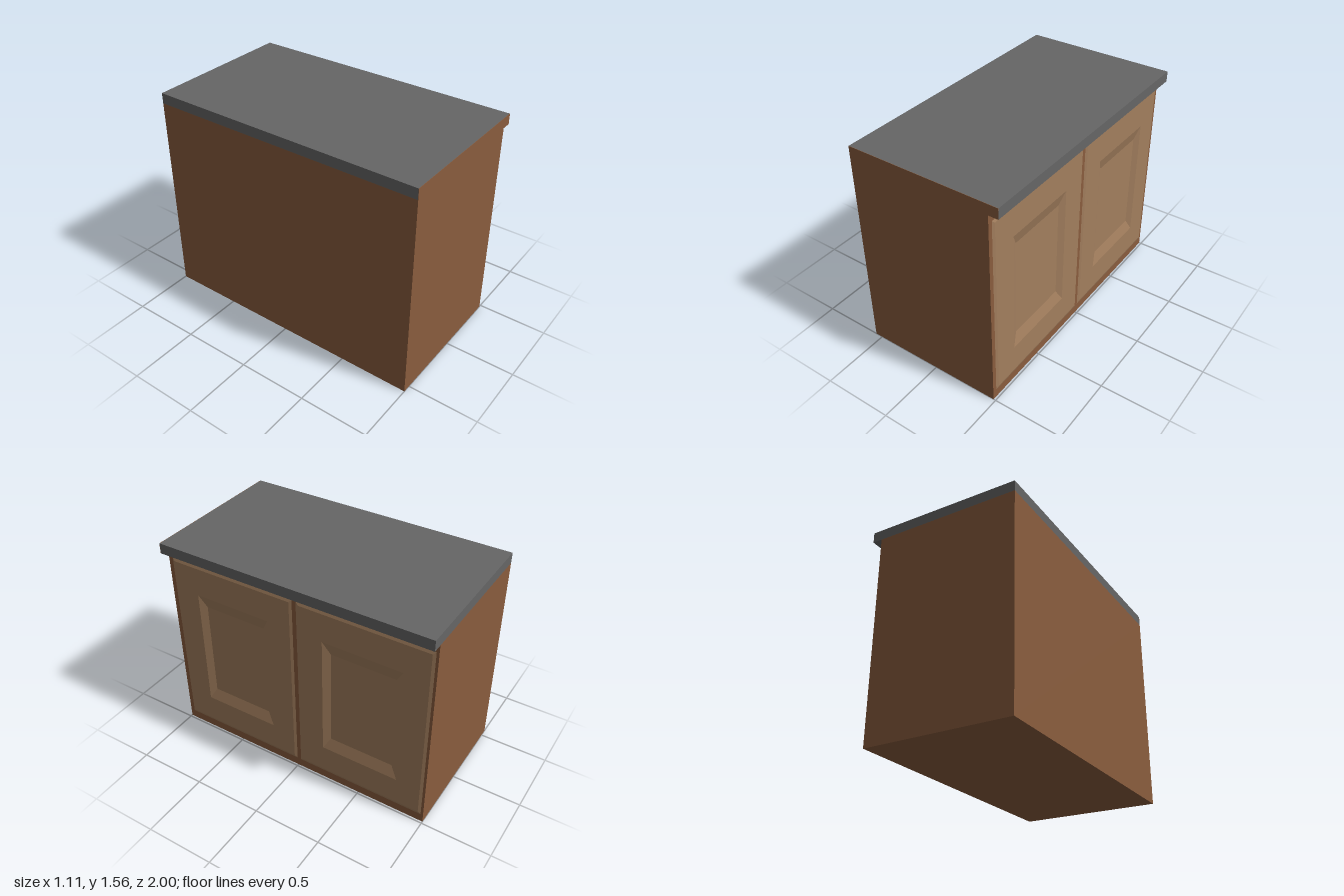
import * as THREE from 'three';

const wood = new THREE.MeshStandardMaterial({ color: 0x8a5d3e });
const doorWood = new THREE.MeshStandardMaterial({ color: 0xa37f5e });
const stone = new THREE.MeshStandardMaterial({ color: 0x666666 });

const BACK = -0.556, FACE = 0.484, LIP = 0.554;   // x of back, cabinet face, counter lip
const COUNTER = 1.485, TOP = 1.56;
const END = 0.998;                                // inner side of the thin end panel

// Door centres along z, and opening half sizes
const doorCentres = [0.488, -0.502];
const DOOR_Y = 0.746, DOOR_W = 0.48, DOOR_H = 0.682;

function add(parent, name, geometry, material) {
  const mesh = new THREE.Mesh(geometry, material);
  mesh.name = name;
  parent.add(mesh);
  return mesh;
}

function block(parent, name, material, x0, x1, y0, y1, z0, z1) {
  const g = new THREE.BoxGeometry(x1 - x0, y1 - y0, z1 - z0);
  g.translate((x0 + x1) / 2, (y0 + y1) / 2, (z0 + z1) / 2);
  return add(parent, name, g, material);
}

// Raised door with bevelled rim and sunken panel: nested rectangles joined by strips.
// Each ring is [u0, u1, v0, v1, height]; u runs along the face, v up.
function doorGeometry() {
  const w = DOOR_W, h = DOOR_H, b = 0.02;
  const rings = [
    [-w, w, -h, h, 0],
    [-w + b, w - b, -h + b, h - b, 0.006],
    [-0.287, 0.286, -0.457, 0.452, 0.006],
    [-0.234, 0.234, -0.366, 0.361, -0.016],
  ].map(([u0, u1, v0, v1, d]) => [[u0, v0, d], [u1, v0, d], [u1, v1, d], [u0, v1, d]]);
  const pos = [];
  const quad = (p, q, r, s) => pos.push(...p, ...q, ...r, ...p, ...r, ...s);
  for (let i = 0; i < rings.length - 1; i++) {
    for (let k = 0; k < 4; k++) {
      const n = (k + 1) % 4;
      quad(rings[i][k], rings[i][n], rings[i + 1][n], rings[i + 1][k]);
    }
  }
  quad(...rings[rings.length - 1]);
  const g = new THREE.BufferGeometry();
  g.setAttribute('position', new THREE.Float32BufferAttribute(pos, 3));
  g.computeVertexNormals();
  return g.rotateY(Math.PI / 2);
}

// Face frame with an opening behind each door
function frameGeometry(depth) {
  const shape = new THREE.Shape([[-END, 0], [1, 0], [1, COUNTER], [-END, COUNTER]]
    .map(p => new THREE.Vector2(...p)));
  for (const z of doorCentres) {
    const w = DOOR_W - 0.06, h = DOOR_H - 0.06;
    shape.holes.push(new THREE.Path([[-w, -h], [-w, h], [w, h], [w, -h]]
      .map(([u, v]) => new THREE.Vector2(u - z, v + DOOR_Y))));
  }
  const g = new THREE.ExtrudeGeometry(shape, { depth, bevelEnabled: false });
  return g.rotateY(Math.PI / 2).translate(FACE - depth, 0, 0);
}

export function createModel() {
  const model = new THREE.Group();
  model.name = 'cabinet';

  // Carcass and face frame
  const frameDepth = 0.024;
  block(model, 'carcass', wood, BACK, FACE - frameDepth, 0, COUNTER, -1, END);
  add(model, 'faceFrame', frameGeometry(frameDepth), wood);

  // Countertop with overhanging lip
  block(model, 'countertop', stone, BACK, LIP, COUNTER, TOP, -1, END);

  // Thin wooden end panel that also covers the countertop end
  const outline = new THREE.Shape([
    [BACK, 0], [FACE, 0], [FACE, COUNTER], [LIP, COUNTER], [LIP, TOP], [BACK, TOP],
  ].map(p => new THREE.Vector2(...p)));
  const panel = new THREE.ExtrudeGeometry(outline, { depth: 1 - END, bevelEnabled: false });
  add(model, 'endPanel', panel.translate(0, 0, END), wood);

  // Pair of doors
  const door = doorGeometry();
  doorCentres.forEach((z, i) => {
    add(model, i ? 'backDoor' : 'frontDoor', door, doorWood).position.set(FACE, DOOR_Y, z);
  });

  return model;
}
